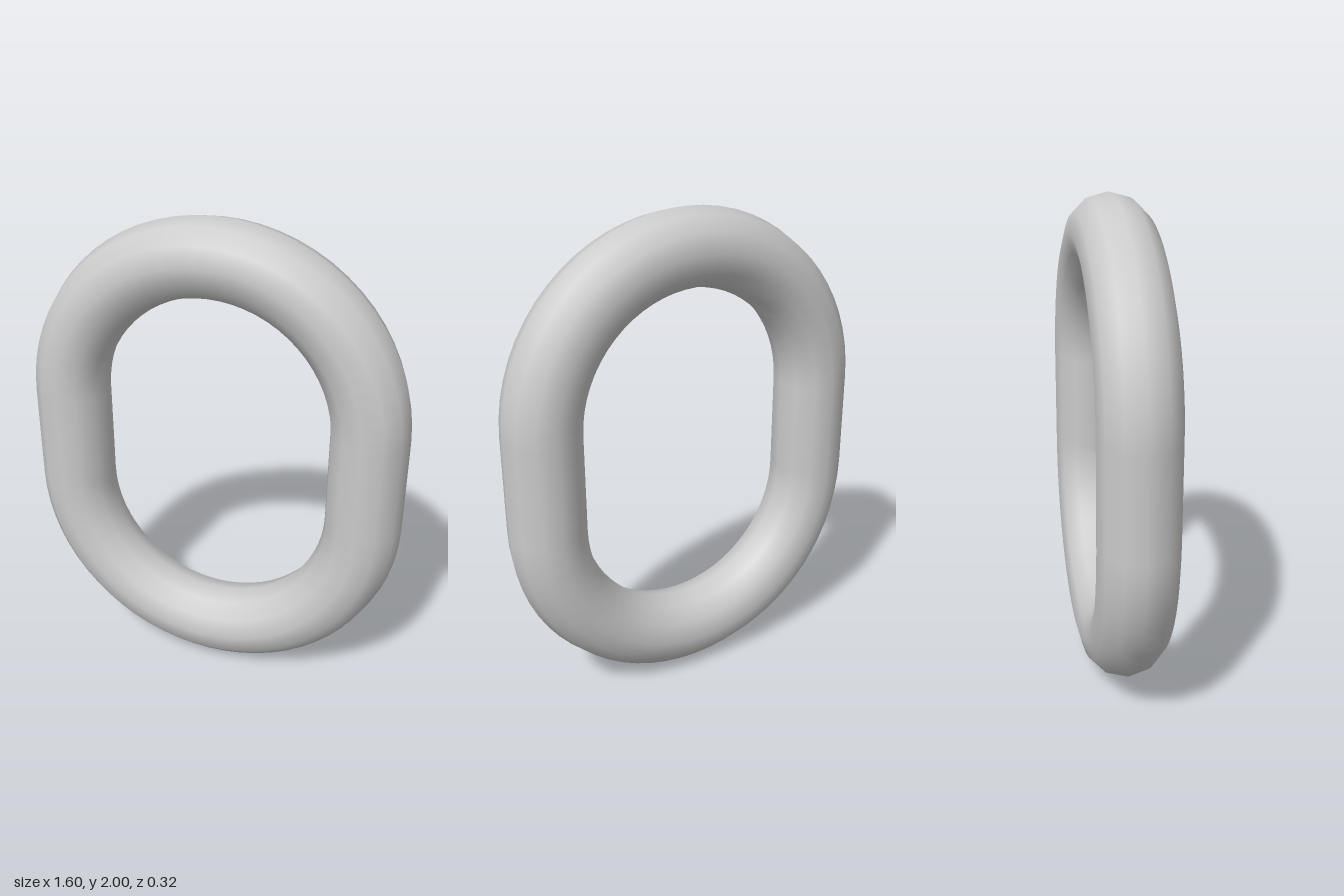
import * as THREE from 'three';

const BEND = 0.642;     // centreline radius of the rounded ends
const TUBE = 0.158;     // radius of the round bar
const HALF = 0.2;       // half length of the straight sides
const SIDES = 12;

export function createModel() {
  const group = new THREE.Group();
  group.name = 'chainLink';
  const material = new THREE.MeshStandardMaterial({ color: 0xcccccc });

  const add = (name, geometry, x, y, turn = 0) => {
    const mesh = new THREE.Mesh(geometry, material);
    mesh.name = name;
    mesh.position.set(x, y, 0);
    mesh.rotation.z = turn;
    group.add(mesh);
  };

  // Rounded ends: half rings
  const bend = new THREE.TorusGeometry(BEND, TUBE, SIDES, 32, Math.PI);
  add('topBend', bend, 0, 1 + HALF);
  add('bottomBend', bend, 0, 1 - HALF, Math.PI);

  // Straight sides: open bars joining the two bends
  const bar = new THREE.CylinderGeometry(TUBE, TUBE, HALF * 2, SIDES, 1, true);
  add('leftBar', bar, BEND, 1);
  add('rightBar', bar, -BEND, 1);

  return group;
}
